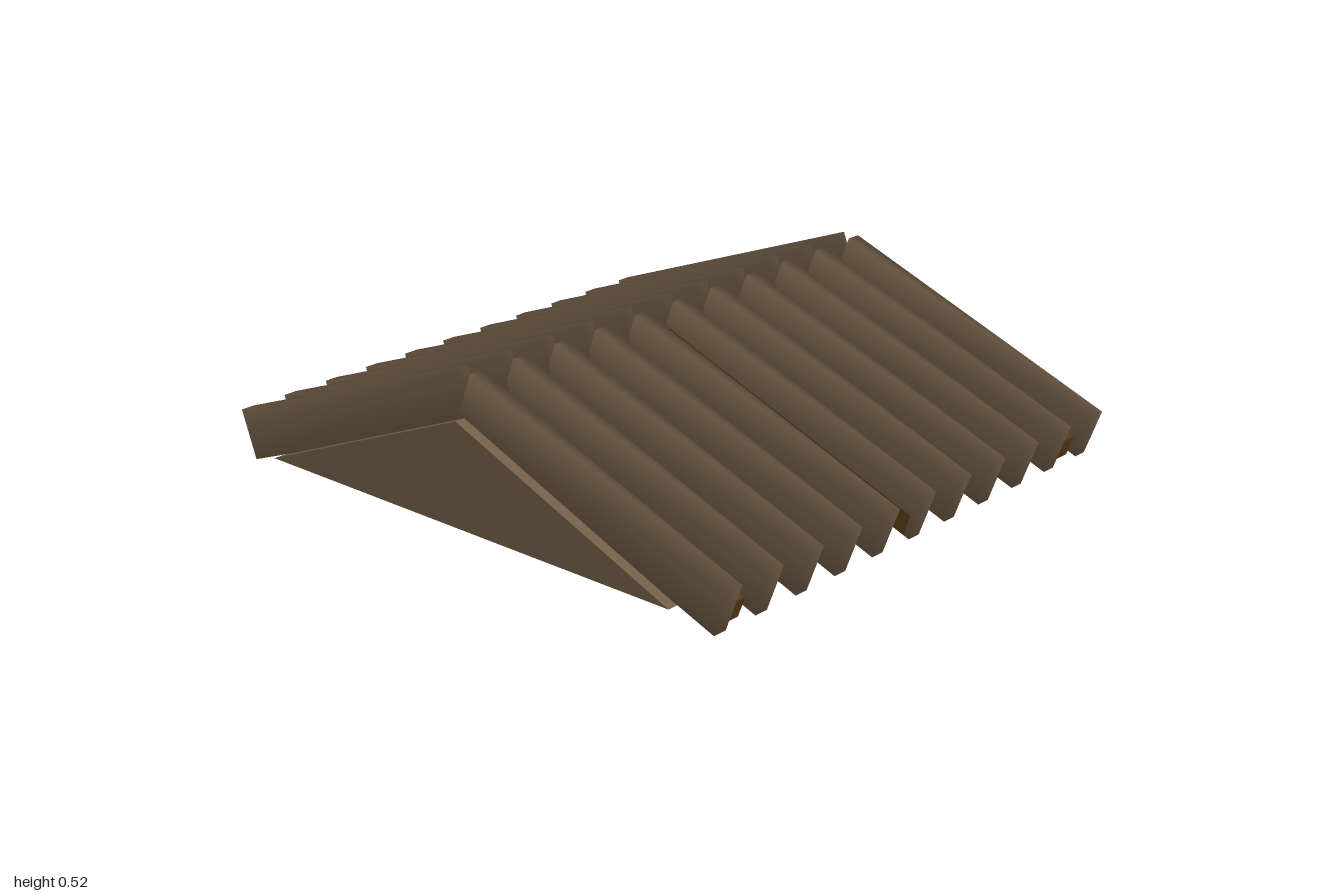
import * as THREE from 'three';
import { mergeVertices } from 'three/addons/utils/BufferGeometryUtils.js';

const SLOPE = Math.atan2(0.37, 0.97);

// Box with normals shared across its edges, for softly shaded timber
function softBox(w, h, d) {
  const box = new THREE.BoxGeometry(w, h, d);
  box.deleteAttribute('normal');
  box.deleteAttribute('uv');
  const soft = mergeVertices(box);
  soft.computeVertexNormals();
  return soft;
}

export function createModel() {
  const model = new THREE.Group();
  const timber = new THREE.MeshStandardMaterial({ color: 0x715d47 });
  timber.name = 'weathered brown';
  const darkTimber = new THREE.MeshStandardMaterial({ color: 0x553a15 });
  darkTimber.name = 'dark brown';

  // Two mirrored sloping timbers meeting at the ridge
  function addPair(name, geometry, material, x, y, z) {
    const pair = new THREE.Group();
    pair.name = name;
    for (const side of [-1, 1]) {
      const mesh = new THREE.Mesh(geometry, material);
      mesh.name = side > 0 ? 'leftSlope' : 'rightSlope';
      mesh.position.set(side * x, y, z);
      mesh.rotation.z = -side * SLOPE;
      pair.add(mesh);
    }
    model.add(pair);
  }

  // Eleven pairs of roof slats
  const slat = softBox(1.038, 0.161, 0.048);
  for (let i = 0; i < 11; i++) {
    addPair('roofSlats', slat, timber, 0.485, 0.265, -0.88 + i * 0.1718);
  }

  // Three pairs of dark rafters at the ends and middle
  const rafter = new THREE.BoxGeometry(1.0, 0.071, 0.051);
  for (const z of [-0.81, -0.0225, 0.765]) {
    addPair('rafters', rafter, darkTimber, 0.466, 0.224, z);
  }

  // Triangular gable panels
  const triangle = new THREE.Shape([
    new THREE.Vector2(-0.81, 0.054),
    new THREE.Vector2(0.81, 0.054),
    new THREE.Vector2(0, 0.385),
  ]);
  const gable = new THREE.ExtrudeGeometry(triangle, { depth: 0.036, bevelEnabled: false });
  for (const [name, z] of [['frontGable', 0.861], ['backGable', -0.86]]) {
    const mesh = new THREE.Mesh(gable, timber);
    mesh.name = name;
    mesh.position.z = z;
    model.add(mesh);
  }
  return model;
}
